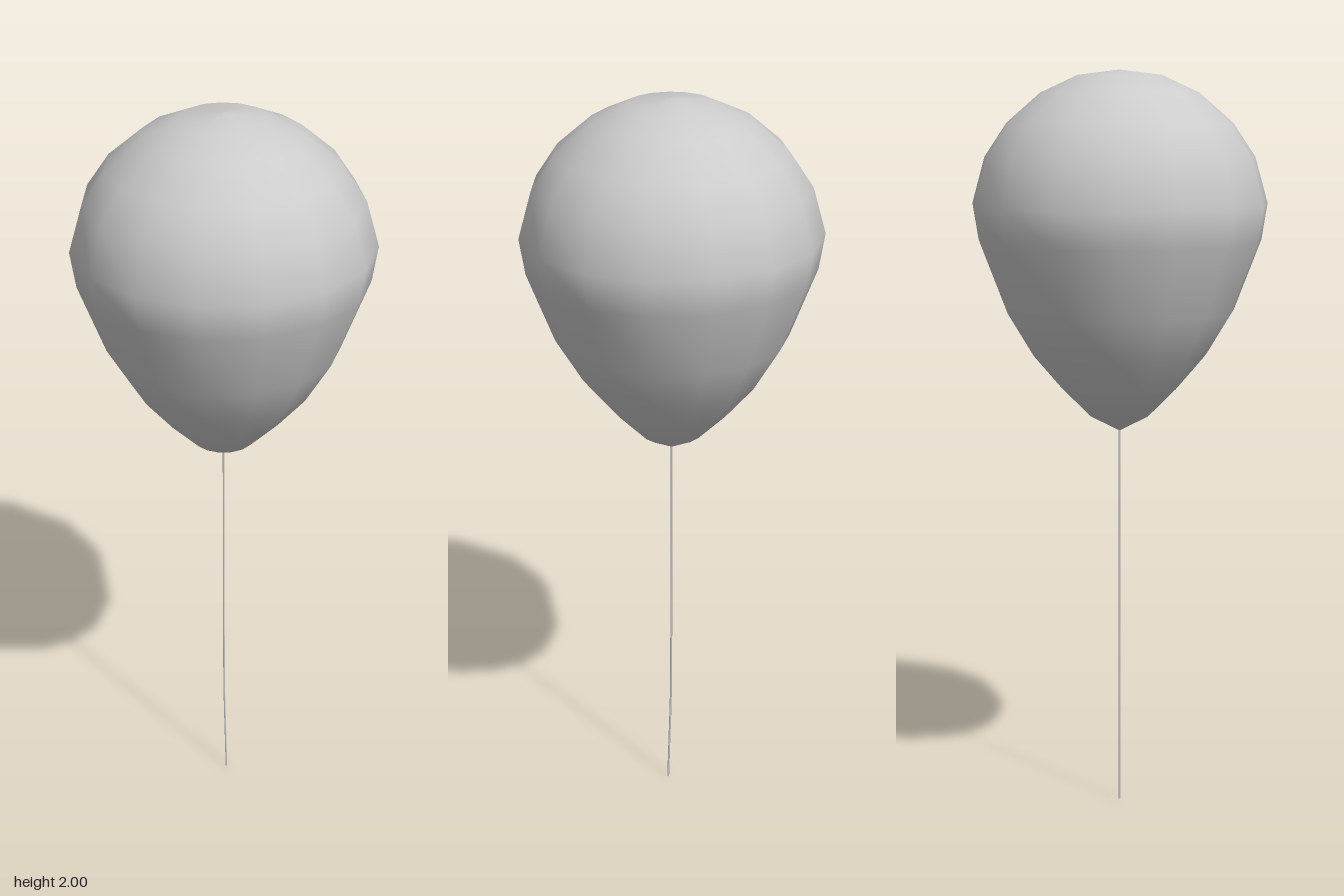
import * as THREE from 'three';

export function createModel() {
  const model = new THREE.Group();
  const grey = new THREE.MeshStandardMaterial({ color: 0xcccccc, side: THREE.DoubleSide });

  // Teardrop envelope: radius and height from the neck to the crown, 15 sides
  const profile = [
    [0, 1.037], [0.08, 1.078], [0.16, 1.157], [0.238, 1.247], [0.309, 1.363],
    [0.382, 1.55], [0.398, 1.647], [0.364, 1.77], [0.304, 1.86],
    [0.212, 1.94], [0.112, 1.986], [0, 2],
  ].map(([r, y]) => new THREE.Vector2(r, y));
  const balloon = new THREE.Mesh(new THREE.LatheGeometry(profile, 15, Math.PI), grey);
  balloon.name = 'balloon';
  balloon.position.z = 0.003;
  model.add(balloon);

  // Thin string, drifting slightly forward at its loose end
  const path = new THREE.CatmullRomCurve3([
    [0, 1.05, 0.003], [0, 0.6, 0.004], [0, 0.26, 0.006], [0, 0.13, 0.010], [0, 0, 0.014],
  ].map((p) => new THREE.Vector3(...p)));
  const string = new THREE.Mesh(new THREE.TubeGeometry(path, 16, 0.003, 4), grey);
  string.name = 'string';
  model.add(string);

  return model;
}
